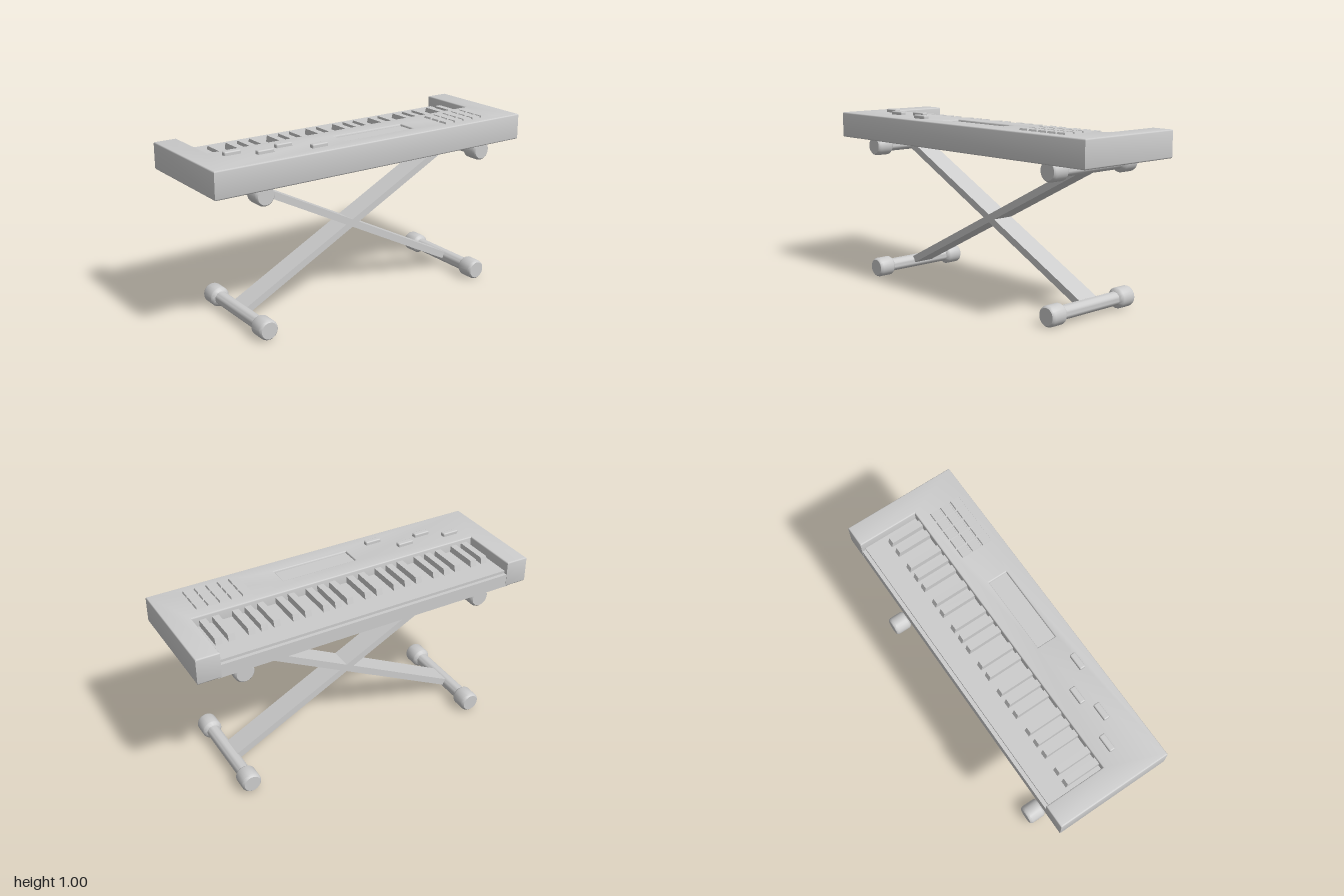
import * as THREE from 'three';
import { RoundedBoxGeometry } from 'three/addons/geometries/RoundedBoxGeometry.js';
import { toCreasedNormals } from 'three/addons/utils/BufferGeometryUtils.js';

const material = new THREE.MeshStandardMaterial({ color: 0xcccccc });

function add(parent, name, geometry, x = 0, y = 0, z = 0) {
  const mesh = new THREE.Mesh(geometry, material);
  mesh.name = name;
  mesh.position.set(x, y, z);
  parent.add(mesh);
  return mesh;
}

// Box given by its limits on each axis
function span(parent, name, [x0, x1], [y0, y1], [z0, z1]) {
  return add(parent, name, new THREE.BoxGeometry(x1 - x0, y1 - y0, z1 - z0),
    (x0 + x1) / 2, (y0 + y1) / 2, (z0 + z1) / 2);
}

// Box whose top is narrowed by inset on every side; its base sits at y
function tapered(parent, name, w, h, d, inset, x, y, z) {
  const geo = new THREE.BoxGeometry(w, h, d);
  const p = geo.attributes.position;
  for (let i = 0; i < p.count; i++) {
    if (p.getY(i) > 0) {
      p.setX(i, p.getX(i) - Math.sign(p.getX(i)) * inset);
      p.setZ(i, p.getZ(i) - Math.sign(p.getZ(i)) * inset);
    }
  }
  geo.computeVertexNormals();
  return add(parent, name, geo, x, y + h / 2, z);
}

function createCase() {
  const group = new THREE.Group();
  group.name = 'case';
  const b = 0.008;

  // U-shaped plan drawn in x and -z, open towards the keys, with a display hole
  const plan = new THREE.Shape([
    [-1 + b, -0.33 + b], [1 - b, -0.33 + b], [1 - b, 0.33 - b], [0.87 + b, 0.33 - b],
    [0.87 + b, -0.02 - b], [-0.87 - b, -0.02 - b], [-0.87 - b, 0.33 - b], [-1 + b, 0.33 - b],
  ].map(([x, y]) => new THREE.Vector2(x, y)));
  plan.holes.push(new THREE.Path([
    [-0.166, -0.241], [-0.166, -0.114], [0.301, -0.114], [0.301, -0.241],
  ].map(([x, y]) => new THREE.Vector2(x, y))));
  const shell = new THREE.ExtrudeGeometry(plan, {
    depth: 0.15 - 2 * b, bevelEnabled: true, bevelThickness: b, bevelSize: b, bevelSegments: 3,
  });
  shell.rotateX(-Math.PI / 2);
  add(group, 'shell', toCreasedNormals(shell, 0.7), 0, 0.83 + b, 0);

  span(group, 'display', [-0.19, 0.32], [0.8295, 0.968], [0.095, 0.26]);
  span(group, 'keyBed', [-0.89, 0.89], [0.8295, 0.905], [-0.328, 0.05]);
  return group;
}

function createKeys() {
  const group = new THREE.Group();
  group.name = 'keys';
  span(group, 'whiteKeys', [-0.872, 0.872], [0.9, 0.92], [-0.307, 0.03]);

  // Black keys in groups: [first centre, count]
  const groups = [[-0.82, 2], [-0.64, 3], [-0.383, 3], [-0.131, 2],
    [0.051, 3], [0.302, 2], [0.484, 3], [0.74, 2]];
  for (const [start, count] of groups) {
    for (let i = 0; i < count; i++) {
      const key = span(group, 'blackKey', [-0.019, 0.019], [0.915, 0.957], [-0.185, 0.02]);
      key.position.x = start + i * 0.072;
      // Slope the playing end
      const p = key.geometry.attributes.position;
      for (let v = 0; v < p.count; v++) {
        if (p.getY(v) > 0 && p.getZ(v) < 0) p.setZ(v, p.getZ(v) + 0.012);
      }
      key.geometry.computeVertexNormals();
    }
  }
  return group;
}

function createControls() {
  const group = new THREE.Group();
  group.name = 'controls';
  // Loose buttons
  for (const [x, z] of [[-0.78, 0.11], [-0.63, 0.185], [-0.49, 0.135], [-0.34, 0.245]]) {
    add(group, 'button', new RoundedBoxGeometry(0.097, 0.04, 0.034, 2, 0.007), x, 0.98, z);
  }
  // Pad grid
  for (let col = 0; col < 5; col++) {
    for (let row = 0; row < 3; row++) {
      tapered(group, 'pad', 0.06, 0.012, 0.06, 0.004, 0.523 + col * 0.066, 0.978, 0.113 + row * 0.066);
    }
  }
  return group;
}

function createStand() {
  const group = new THREE.Group();
  group.name = 'stand';
  const left = 0.737, right = -0.706, low = 0.057, high = 0.797;

  // Foot and support tubes with thicker rubber ends
  const half = [[0.038, 0.205], [0.046, 0.21], [0.055, 0.22], [0.057, 0.225],
    [0.057, 0.3], [0.054, 0.308], [0.047, 0.315], [0, 0.315]];
  const profile = [
    ...half.map(([r, z]) => new THREE.Vector2(r, -z)).reverse(),
    ...half.map(([r, z]) => new THREE.Vector2(r, z)),
  ];
  const tube = toCreasedNormals(new THREE.LatheGeometry(profile, 28).rotateX(Math.PI / 2), 0.6);
  for (const x of [left, right]) {
    add(group, 'footTube', tube, x, low, 0);
    add(group, 'supportTube', tube, x, high, 0);
  }

  // Crossed flat bars
  const length = Math.hypot(left - right, high - low);
  const angle = Math.atan2(high - low, left - right);
  for (const side of [1, -1]) {
    const bar = add(group, 'crossBar', new THREE.BoxGeometry(length, 0.04, 0.132),
      (left + right) / 2, (low + high) / 2, -0.016);
    bar.rotation.z = side * angle;
  }
  return group;
}

export function createModel() {
  const model = new THREE.Group();
  model.name = 'keyboardOnStand';
  model.add(createCase(), createKeys(), createControls(), createStand());
  return model;
}
